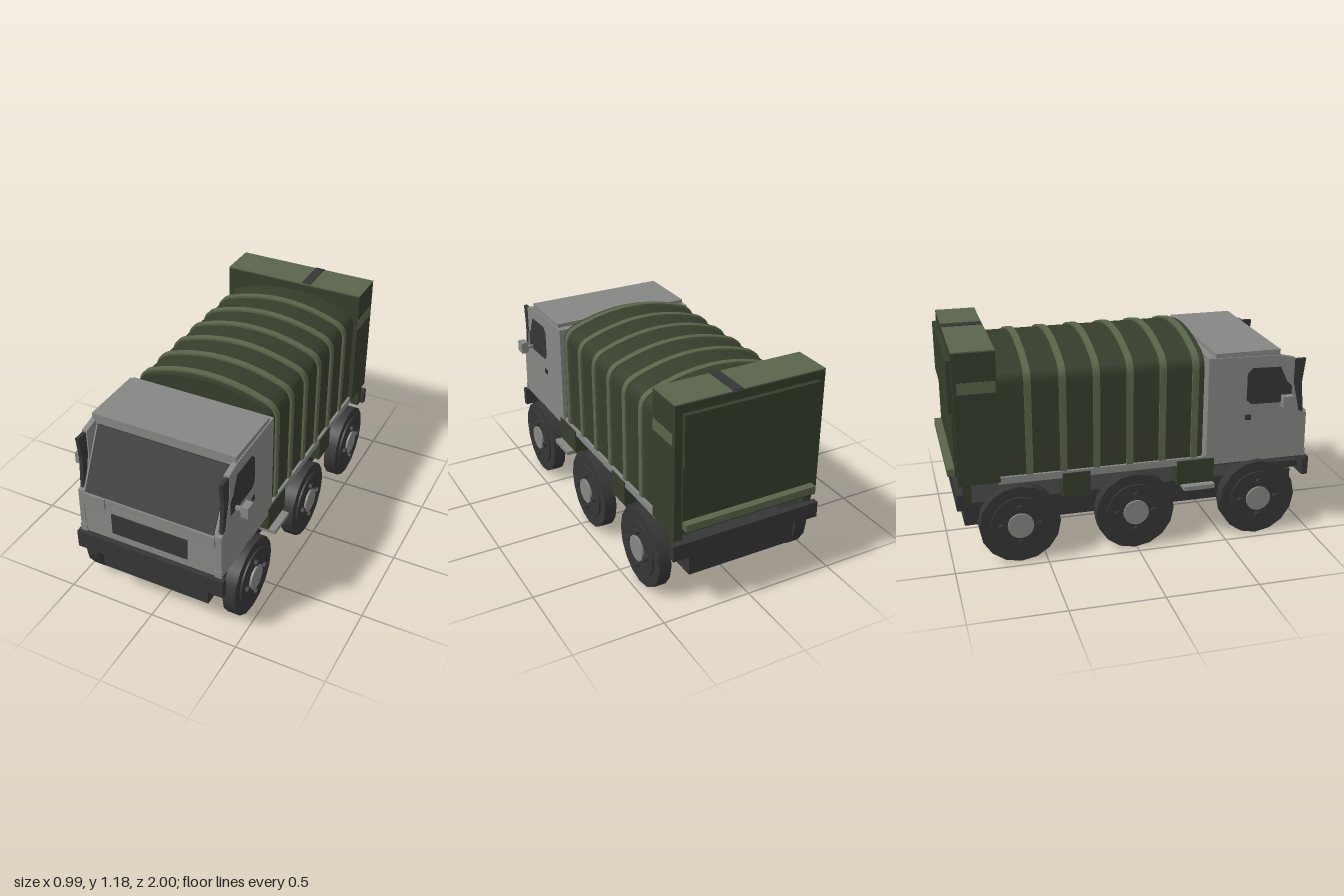
import * as THREE from 'three';
import { toCreasedNormals } from 'three/addons/utils/BufferGeometryUtils.js';

const paint = (name, color) => {
  const m = new THREE.MeshStandardMaterial({ color });
  m.name = name;
  return m;
};

export function createModel() {
  const truck = new THREE.Group();
  truck.name = 'truck';
  const grey = paint('cab grey', 0x868684);
  const dark = paint('dark rubber and glass', 0x363636);
  const green = paint('canvas green', 0x363d2c);
  const light = paint('light olive', 0x5a644a);

  const add = (name, geometry, material, parent = truck) => {
    const mesh = new THREE.Mesh(geometry, material);
    mesh.name = name;
    parent.add(mesh);
    return mesh;
  };
  // Box given by its limits on each axis
  const box = (name, mat, x0, x1, y0, y1, z0, z1, parent) => {
    const m = add(name, new THREE.BoxGeometry(x1 - x0, y1 - y0, z1 - z0), mat, parent);
    m.position.set((x0 + x1) / 2, (y0 + y1) / 2, (z0 + z1) / 2);
    return m;
  };
  // The same box on both sides
  const pair = (name, mat, x0, x1, y0, y1, z0, z1) => {
    box(name + 'Left', mat, x0, x1, y0, y1, z0, z1);
    box(name + 'Right', mat, -x1, -x0, y0, y1, z0, z1);
  };
  // Side outline of [z, y] points, given thickness from x0 to x1
  const prism = (name, mat, points, x0, x1) => {
    const shape = new THREE.Shape(points.map(([z, y]) => new THREE.Vector2(z, y)));
    const g = new THREE.ExtrudeGeometry(shape, { depth: x1 - x0, bevelEnabled: false });
    g.rotateY(-Math.PI / 2).translate(x1, 0, 0);
    return add(name, g, mat);
  };
  const prismPair = (name, mat, points, x0, x1) => {
    prism(name + 'Left', mat, points, x0, x1);
    prism(name + 'Right', mat, points, -x1, -x0);
  };

  // Chassis and bumpers
  box('chassis', dark, -0.315, 0.315, 0.18, 0.31, -0.92, 0.945);
  box('frontBumper', dark, -0.43, 0.43, 0.32, 0.425, 0.965, 1.0);
  box('frontBumperBracket', dark, -0.36, 0.36, 0.34, 0.38, 0.75, 0.965);
  box('rearBumper', dark, -0.43, 0.43, 0.325, 0.415, -0.965, -0.93);
  pair('rearBracket', green, 0.36, 0.41, 0.33, 0.46, -0.93, -0.885);

  // Wheels
  const disc = (name, mat, r, x0, x1, parent, segs = 16) => {
    const g = new THREE.CylinderGeometry(r, r, x1 - x0, segs);
    g.rotateZ(-Math.PI / 2).translate((x0 + x1) / 2, 0, 0);
    return add(name, g, mat, parent);
  };
  for (const z of [0.695, -0.01, -0.64]) {
    const axle = disc('axle', dark, 0.025, -0.4, 0.4, truck, 12);
    axle.position.set(0, 0.228, z);
    for (const side of [1, -1]) {
      const wheel = new THREE.Group();
      wheel.name = 'wheel';
      wheel.position.set(0, 0.22, z);
      if (side < 0) wheel.rotation.y = Math.PI;
      truck.add(wheel);
      disc('tyre', dark, 0.218, 0.38, 0.45, wheel);
      disc('rim', dark, 0.16, 0.44, 0.46, wheel, 24);
      disc('hub', grey, 0.07, 0.45, 0.472, wheel, 20);
      for (let i = 0; i < 4; i++) {
        const a = i * Math.PI / 2;
        const bolt = disc('bolt', dark, 0.017, 0.45, 0.478, wheel, 10);
        bolt.position.set(0, 0.102 * Math.cos(a), 0.102 * Math.sin(a));
      }
    }
  }

  // Cab body with raked front, and side walls reaching past the windscreen
  prism('cabBody', grey, [[0.4, 0.43], [0.975, 0.43], [0.97, 0.68], [0.8, 1.01],
    [0.8, 1.04], [0.4, 1.04]], -0.385, 0.385);
  prismPair('cabSide', grey, [[0.4, 0.43], [0.98, 0.43], [0.975, 0.69], [0.93, 0.7],
    [0.89, 0.87], [0.89, 1.01], [0.8, 1.03], [0.4, 1.04]], 0.383, 0.412);
  prismPair('quarterPane', dark, [[0.955, 0.69], [0.94, 0.87], [0.955, 1.0], [0.89, 1.0],
    [0.89, 0.87], [0.93, 0.7]], 0.39, 0.41);
  box('cabRoof', grey, -0.405, 0.405, 1.0, 1.062, 0.44, 0.805);
  box('cabFloor', dark, -0.4, 0.4, 0.42, 0.432, 0.42, 0.96);
  box('cabRearPanel', dark, -0.315, 0.315, 0.45, 0.98, 0.37, 0.402);

  // Glass
  prism('windscreen', dark, [[0.97, 0.69], [0.976, 0.692], [0.812, 1.008], [0.802, 1.008]], -0.37, 0.37);
  prismPair('doorWindow', dark, [[0.62, 0.79], [0.645, 0.765], [0.88, 0.76], [0.88, 0.85],
    [0.85, 0.88], [0.81, 0.965], [0.65, 0.97], [0.62, 0.94]], 0.408, 0.415);
  pair('doorHandle', dark, 0.408, 0.416, 0.675, 0.705, 0.615, 0.65);

  // Front details
  box('grille', dark, -0.22, 0.22, 0.475, 0.6, 0.97, 0.979);
  box('frontSill', grey, -0.41, 0.41, 0.66, 0.685, 0.96, 0.978);
  pair('lampBlock', grey, 0.25, 0.378, 0.625, 0.69, 0.96, 0.987);
  pair('cornerPlate', grey, 0.375, 0.414, 0.43, 0.47, 0.965, 0.984);
  pair('mirrorArm', grey, 0.41, 0.465, 0.77, 0.787, 0.82, 0.838);
  pair('mirror', grey, 0.457, 0.497, 0.755, 0.82, 0.8, 0.86);

  // Load bed, steps and side lockers
  box('loadBed', grey, -0.41, 0.41, 0.443, 0.482, -0.74, 0.39);
  pair('step', grey, 0.36, 0.455, 0.308, 0.332, 0.265, 0.44);
  pair('frontLocker', green, 0.3, 0.415, 0.33, 0.47, 0.235, 0.445);
  pair('middleLocker', green, 0.3, 0.415, 0.33, 0.47, -0.4, -0.25);

  // Arched canvas and its hoops
  const arch = (name, mat, grow, z0, z1) => {
    const w = 0.395 + grow;
    const s = new THREE.Shape();
    s.moveTo(-w, 0.48);
    s.lineTo(w, 0.48);
    s.lineTo(w, 0.98);
    s.quadraticCurveTo(w, 1.04 + grow, 0.34, 1.065 + grow);
    s.quadraticCurveTo(0, 1.195 + grow, -0.34, 1.065 + grow);
    s.quadraticCurveTo(-w, 1.04 + grow, -w, 0.98);
    const g = new THREE.ExtrudeGeometry(s, { depth: z1 - z0, bevelEnabled: false, curveSegments: 10 });
    add(name, toCreasedNormals(g.translate(0, 0, z0), 0.6), mat);
  };
  arch('canvas', green, 0, -0.74, 0.38);
  for (const z of [0.33, 0.15, -0.03, -0.21, -0.39, -0.572]) {
    arch('hoop', light, 0.012, z - 0.018, z + 0.018);
  }

  // Rear compartment with tailgate
  box('rearBox', green, -0.42, 0.42, 0.46, 1.175, -0.95, -0.73);
  box('rearBoxTop', light, -0.42, 0.42, 1.174, 1.182, -0.95, -0.73);
  box('roofStrap', dark, 0.055, 0.11, 1.178, 1.186, -0.95, -0.735);
  pair('sideStripe', light, 0.417, 0.423, 0.96, 1.02, -0.93, -0.735);
  box('tailgateLower', green, -0.38, 0.38, 0.5, 0.845, -0.96, -0.945);
  box('tailgateUpper', green, -0.38, 0.38, 0.85, 1.13, -0.975, -0.945);
  box('tailgateRail', light, -0.38, 0.38, 0.505, 0.545, -1.0, -0.955);
  return truck;
}
